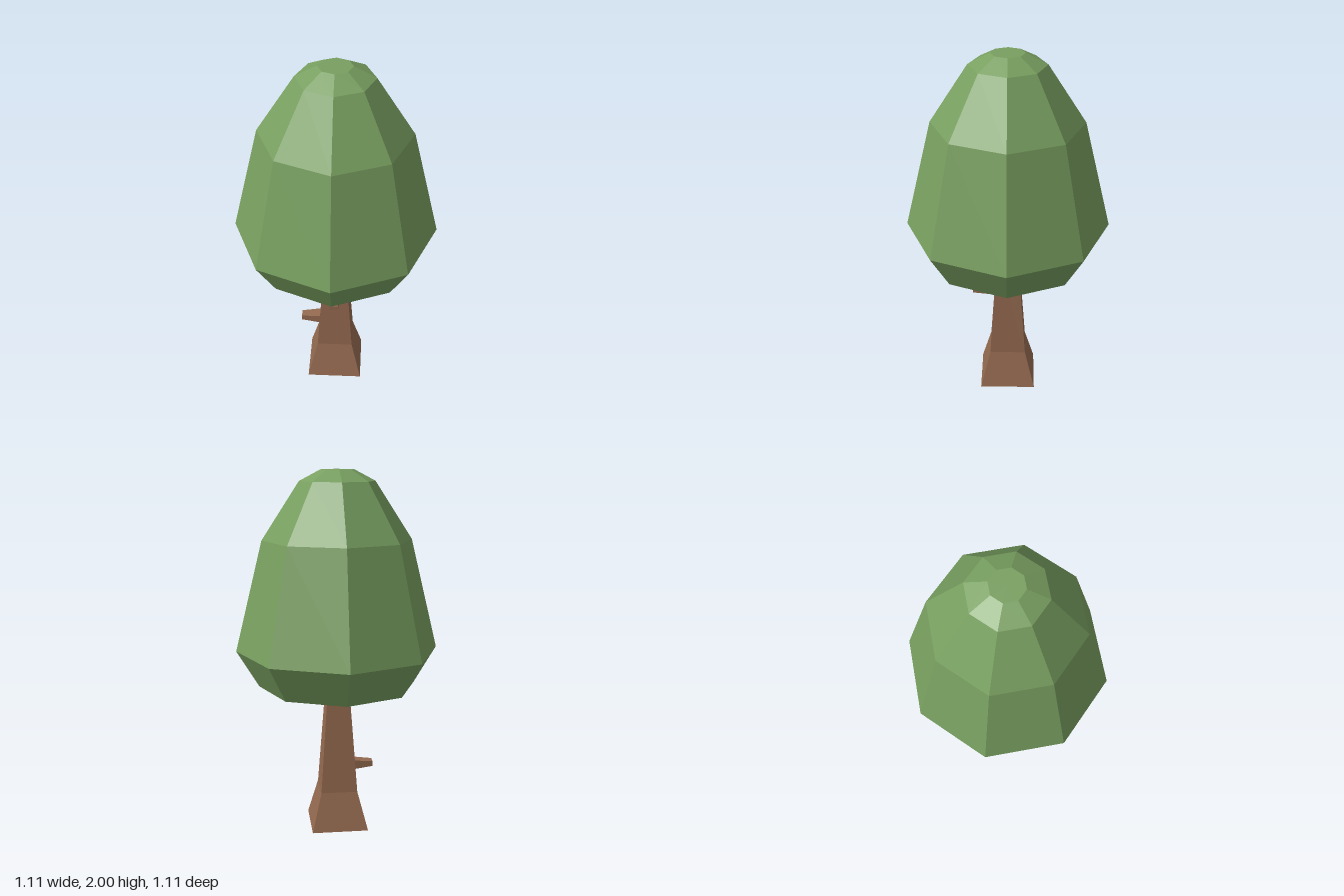
import * as THREE from 'three';

const bark = new THREE.MeshStandardMaterial({ color: 0x946a50, flatShading: true });
const leaf = new THREE.MeshStandardMaterial({ color: 0x789f60, flatShading: true });

// Faceted solid of revolution from [radius, height] pairs, bottom to top
function turned(name, profile, sides, phase, material) {
  const points = profile.map(([r, y]) => new THREE.Vector2(r, y));
  const mesh = new THREE.Mesh(new THREE.LatheGeometry(points, sides, phase), material);
  mesh.name = name;
  return mesh;
}

// Tapered square stub pointing along +z from start to end
function stub(name, start, end, root, tip) {
  const geo = new THREE.BoxGeometry(1, 1, end - start);
  geo.translate(0, 0, (start + end) / 2);
  const pos = geo.attributes.position;
  for (let i = 0; i < pos.count; i++) {
    const [w, h] = pos.getZ(i) > (start + end) / 2 ? tip : root;
    pos.setXY(i, pos.getX(i) * w, pos.getY(i) * h);
  }
  geo.computeVertexNormals();
  const mesh = new THREE.Mesh(geo, bark);
  mesh.name = name;
  return mesh;
}

export function createModel() {
  const tree = new THREE.Group();
  tree.name = 'tree';

  // Square trunk with a flared foot; half-widths become corner radii
  const trunkProfile = [[0, 0], [0.157, 0], [0.102, 0.215], [0.058, 0.84], [0, 0.84]]
    .map(([half, y]) => [half * Math.SQRT2, y]);
  tree.add(turned('trunk', trunkProfile, 4, Math.PI / 4, bark));

  // Eight-sided crown with flat top and underside
  tree.add(turned('crown', [
    [0, 0.825], [0.435, 0.825], [0.557, 1.027], [0.407, 1.63],
    [0.204, 1.94], [0.09, 2], [0, 2],
  ], 8, 0, leaf));

  // Two broken branches: one forward, one to the right side
  const front = stub('frontBranch', 0.065, 0.2, [0.068, 0.044], [0.048, 0.028]);
  front.position.y = 0.598;
  const side = stub('sideBranch', 0.08, 0.2, [0.07, 0.054], [0.048, 0.03]);
  side.position.y = 0.351;
  side.rotation.y = -Math.PI / 2;
  tree.add(front, side);
  return tree;
}
